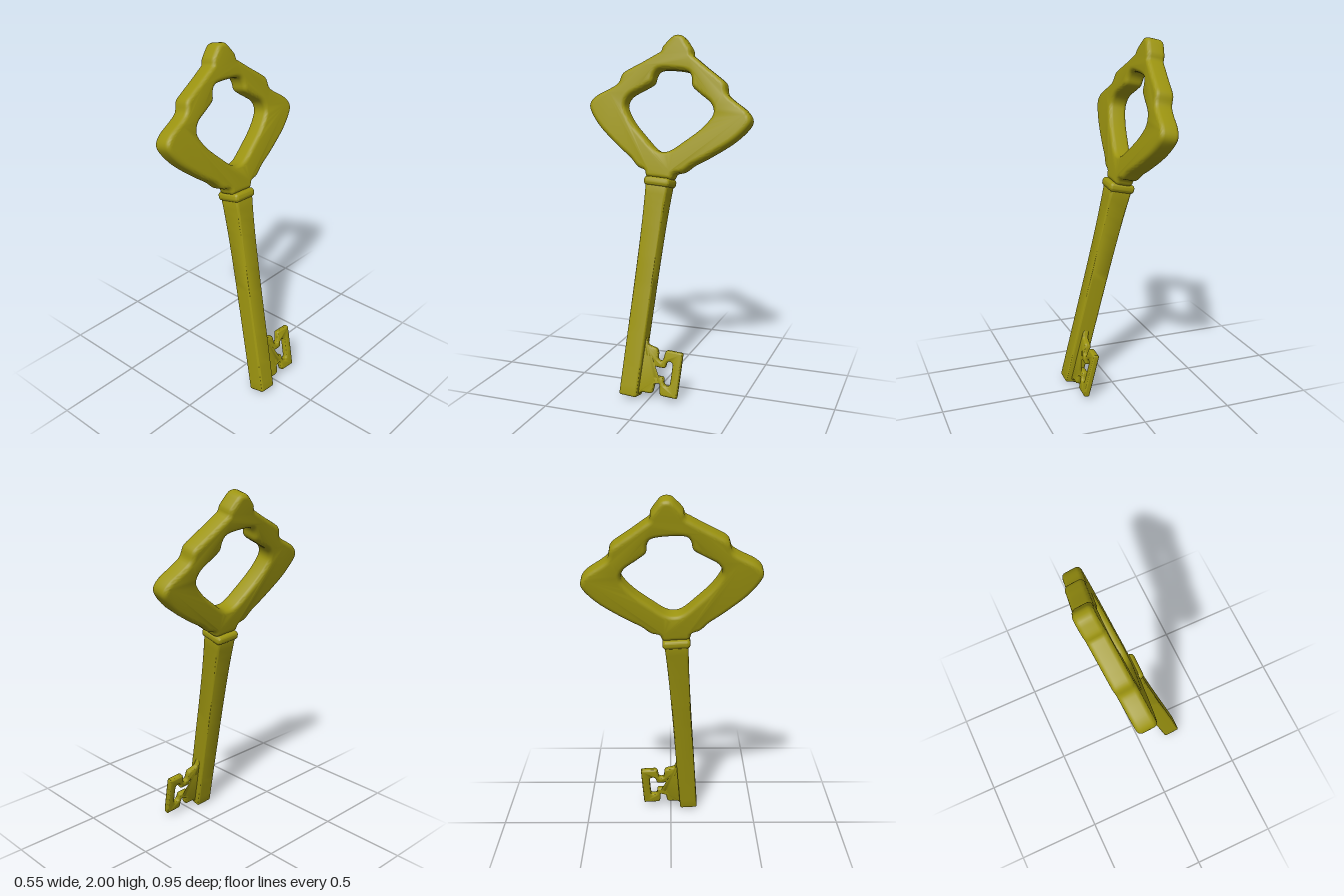
import * as THREE from 'three';
import { toCreasedNormals } from 'three/addons/utils/BufferGeometryUtils.js';
import { RoundedBoxGeometry } from 'three/addons/geometries/RoundedBoxGeometry.js';

const material = new THREE.MeshStandardMaterial({ color: 0x9c9410 });

// heights are given upright; the key leans, so stretch them along its axis
const along = (h) => (h - 0.02) / 0.974;

// smooth closed outline through a few points
function smoothLoop(points, tension, samples) {
  const curve = new THREE.CatmullRomCurve3(
    points.map(([u, h]) => new THREE.Vector3(u, along(h), 0)), true, 'catmullrom', tension);
  return curve.getSpacedPoints(samples).slice(0, -1).map((p) => new THREE.Vector2(p.x, p.y));
}

// mirror a half outline whose first and last points lie on the axis
const mirrored = (half) =>
  [...half, ...half.slice(1, -1).reverse().map(([u, h]) => [-u, h])];

// plate with rounded edges, lying in the zy plane and centred on x = 0
function plate(name, outline, hole, thickness, bevel) {
  const shape = new THREE.Shape(outline);
  shape.holes.push(new THREE.Path(hole));
  const geometry = new THREE.ExtrudeGeometry(shape, {
    depth: thickness - 2 * bevel, bevelEnabled: true, bevelThickness: bevel,
    bevelSize: bevel, bevelOffset: -bevel, bevelSegments: 5,
  });
  geometry.translate(0, 0, -(thickness - 2 * bevel) / 2);
  geometry.rotateY(-Math.PI / 2);
  return part(name, geometry);
}

function part(name, geometry) {
  const mesh = new THREE.Mesh(toCreasedNormals(geometry, 0.8), material);
  mesh.name = name;
  return mesh;
}

export function createModel() {
  const key = new THREE.Group();
  key.name = 'key';

  // bow: scalloped diamond ring with a finial
  const bowOutline = mirrored([
    [0, 1.215], [0.07, 1.217], [0.088, 1.25], [0.135, 1.267], [0.185, 1.31], [0.27, 1.365],
    [0.39, 1.455], [0.462, 1.535], [0.477, 1.585], [0.44, 1.632], [0.36, 1.68],
    [0.32, 1.712], [0.302, 1.765], [0.25, 1.802], [0.19, 1.838], [0.12, 1.883],
    [0.09, 1.903], [0.083, 1.93], [0.055, 1.965], [0.028, 1.993], [0, 2.0],
  ]);
  const bowHole = mirrored([
    [0, 1.36], [0.05, 1.375], [0.12, 1.43], [0.2, 1.5], [0.252, 1.565], [0.264, 1.605],
    [0.24, 1.65], [0.17, 1.695], [0.122, 1.73], [0.112, 1.775], [0.085, 1.805], [0, 1.812],
  ]);
  key.add(plate('bow', smoothLoop(bowOutline, 0.5, 200), smoothLoop(bowHole, 0.5, 120), 0.108, 0.025));

  // collar between bow and shaft
  const collar = new RoundedBoxGeometry(0.148, 0.05, 0.152, 4, 0.02);
  collar.translate(0, along(1.197), 0);
  key.add(part('collar', collar));

  // shaft: rounded square bar, flaring toward the collar
  const half = 0.5, r = 0.12, length = along(1.19), bevel = 0.012;
  const square = new THREE.Shape();
  for (let i = 0; i < 4; i++) {
    const a = i * Math.PI / 2;
    const sx = i === 0 || i === 3 ? 1 : -1, sy = i < 2 ? 1 : -1;
    square.absarc(sx * (half - r), sy * (half - r), r, a, a + Math.PI / 2);
  }
  const shaft = new THREE.ExtrudeGeometry(square, {
    depth: length - 2 * bevel, steps: 24, curveSegments: 5, bevelEnabled: true,
    bevelThickness: bevel, bevelSize: 0.1, bevelOffset: -0.1, bevelSegments: 3,
  });
  shaft.rotateX(-Math.PI / 2);
  shaft.translate(0, bevel, 0);
  const pos = shaft.attributes.position;
  for (let i = 0; i < pos.count; i++) {
    const t = pos.getY(i) / length;
    const width = 0.1 + 0.008 * t + 0.02 * t ** 6;
    pos.setX(i, pos.getX(i) * width);
    pos.setZ(i, pos.getZ(i) * (width + 0.004));
  }
  key.add(part('shaft', shaft));

  // bit: thin notched plate with a dumbbell-shaped opening
  const bitOutline = [
    [-0.03, 0.36], [-0.055, 0.345], [-0.07, 0.312], [-0.12, 0.3], [-0.131, 0.285], [-0.137, 0.245],
    [-0.152, 0.238], [-0.167, 0.245], [-0.173, 0.285], [-0.184, 0.3], [-0.262, 0.3], [-0.274, 0.288],
    [-0.274, 0.064], [-0.262, 0.052], [-0.184, 0.052], [-0.173, 0.065], [-0.167, 0.108],
    [-0.152, 0.116], [-0.137, 0.108], [-0.131, 0.065], [-0.12, 0.052], [-0.07, 0.05], [-0.03, 0.04],
  ];
  const bitHole = [
    [-0.06, 0.12], [-0.06, 0.225], [-0.075, 0.242], [-0.1, 0.24], [-0.112, 0.225], [-0.12, 0.203],
    [-0.18, 0.203], [-0.188, 0.23], [-0.2, 0.242], [-0.218, 0.24], [-0.226, 0.225],
    [-0.226, 0.125], [-0.218, 0.112], [-0.2, 0.11], [-0.188, 0.122], [-0.18, 0.152],
    [-0.12, 0.152], [-0.112, 0.122], [-0.1, 0.108], [-0.075, 0.106],
  ];
  key.add(plate('bit', smoothLoop(bitOutline, 0.3, 140), smoothLoop(bitHole, 0.3, 110), 0.036, 0.011));

  // lean the whole key
  key.rotation.set(-0.0663, 0, 0.225, 'ZYX');
  key.position.set(0.22, 0.017, 0.11);
  const model = new THREE.Group();
  model.name = 'leaningKey';
  model.add(key);
  return model;
}
